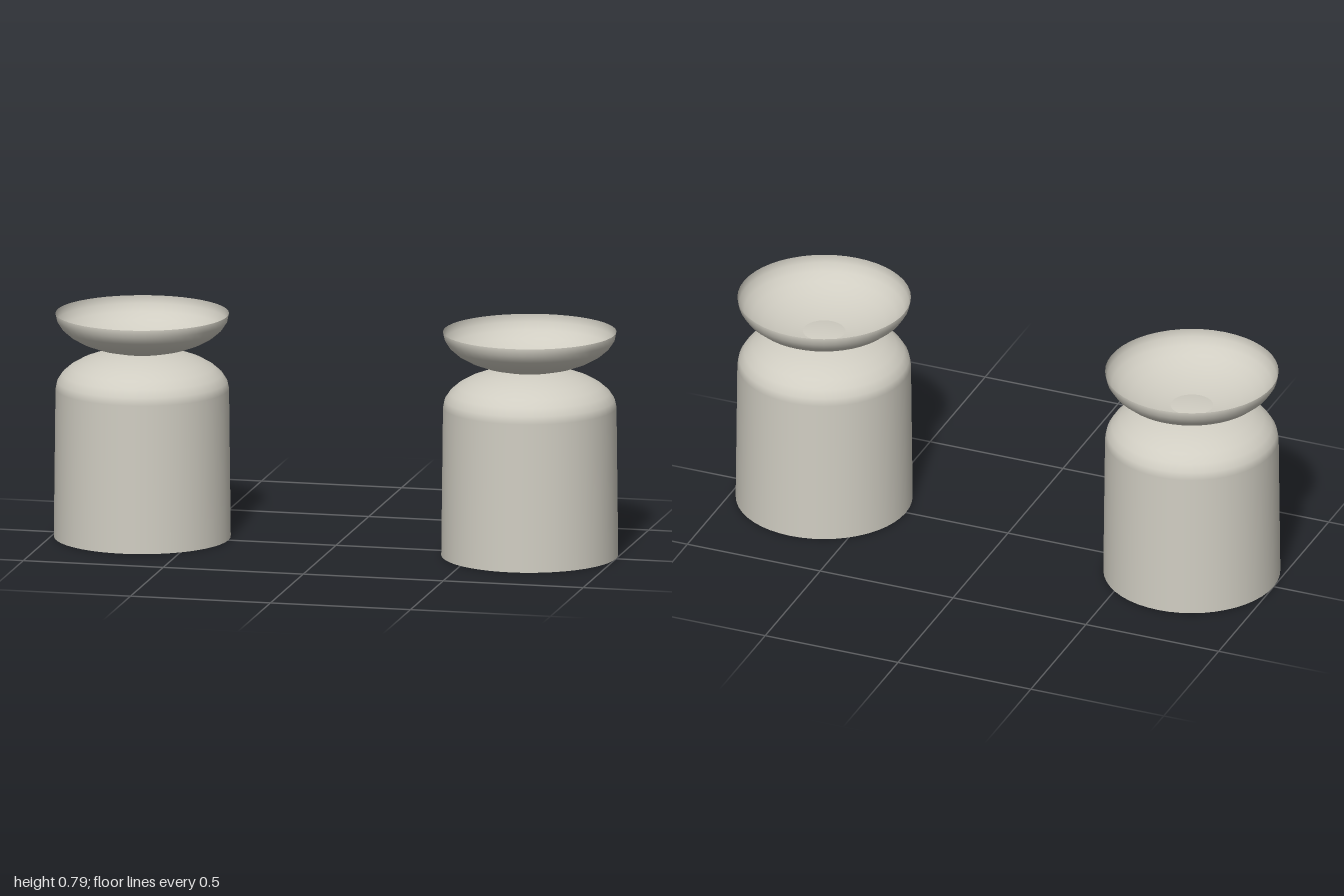
import * as THREE from 'three';

const SEGMENTS = 48;
const RADIUS = 0.302;
const SHOULDER_Y = 0.524;
const RIM_Y = 0.7925;
const CURVE_HEIGHT = 0.139;

// Squashed hemisphere: the upper half is a dome, the lower half a bowl
function halfEllipsoid(upper) {
  const start = upper ? 0 : Math.PI / 2;
  const geometry = new THREE.SphereGeometry(RADIUS, SEGMENTS, 8, 0, Math.PI * 2, start, Math.PI / 2);
  return geometry.scale(1, CURVE_HEIGHT / RADIUS, 1);
}

export function createModel() {
  const stone = new THREE.MeshStandardMaterial({ color: 0xd0cdc2, side: THREE.DoubleSide });
  stone.name = 'pale stone';

  const add = (parent, name, geometry, y) => {
    const mesh = new THREE.Mesh(geometry, stone);
    mesh.name = name;
    mesh.position.y = y;
    parent.add(mesh);
  };

  const model = new THREE.Group();
  model.name = 'pairOfBowlPedestals';

  for (const [side, x] of [['left', 0.692], ['right', -0.692]]) {
    const pedestal = new THREE.Group();
    pedestal.name = `${side}Pedestal`;
    pedestal.position.x = x;

    // Slightly tapered body, rounded shoulder whose crown shows in the bowl, thin open bowl
    add(pedestal, 'body', new THREE.CylinderGeometry(RADIUS, 0.308, SHOULDER_Y, SEGMENTS), SHOULDER_Y / 2);
    add(pedestal, 'shoulder', halfEllipsoid(true), SHOULDER_Y);
    add(pedestal, 'bowl', halfEllipsoid(false), RIM_Y);
    model.add(pedestal);
  }
  return model;
}
